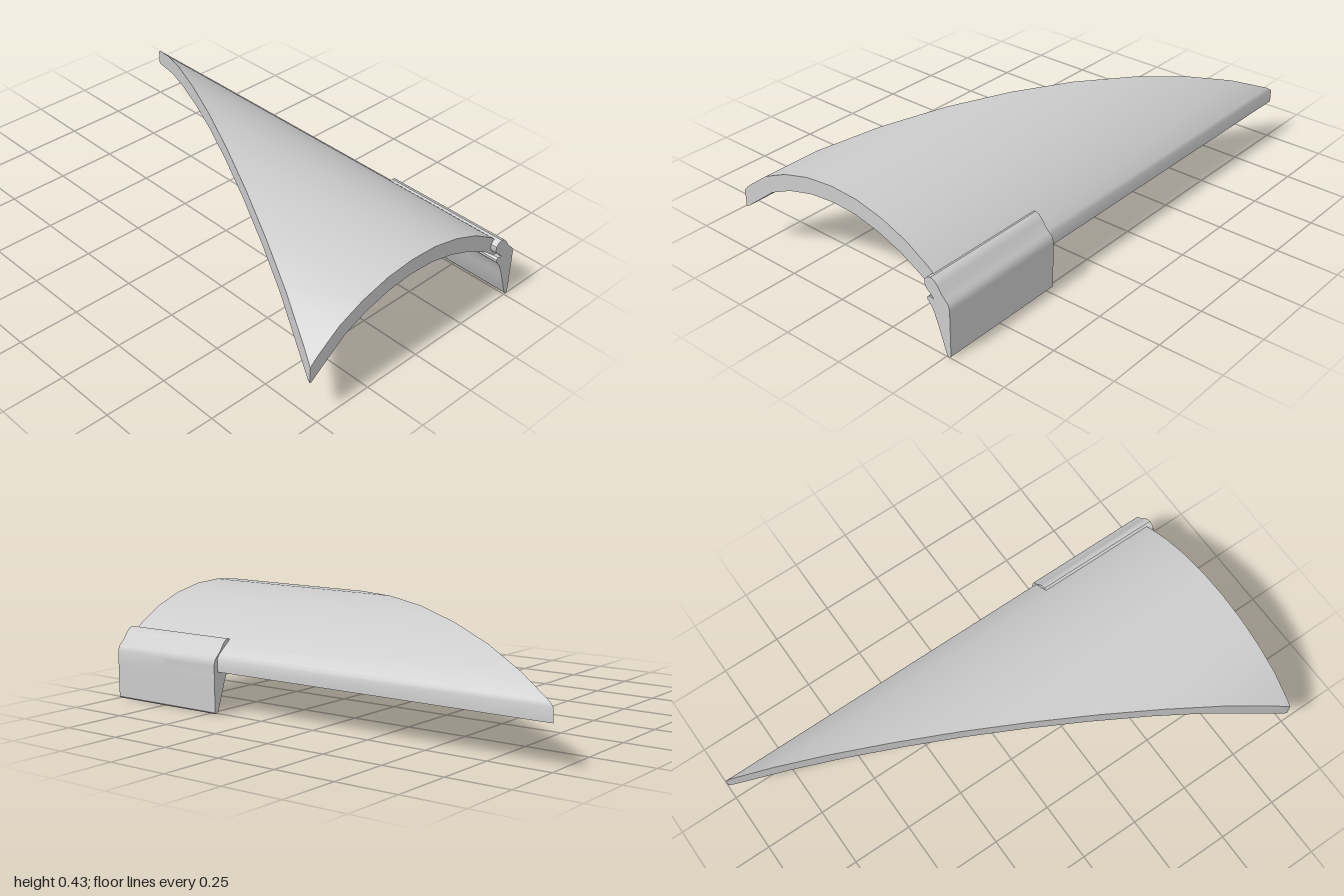
import * as THREE from 'three';
import { toCreasedNormals } from 'three/addons/utils/BufferGeometryUtils.js';

const material = new THREE.MeshStandardMaterial({ color: 0xcccccc, side: THREE.DoubleSide });

// Sweeps a [z, y] profile along x; startX may vary with z to cut the start at an angle
function sweep(name, profile, startX, endX) {
  const shape = new THREE.Shape(profile.map(([z, y]) => new THREE.Vector2(-z, y)));
  const geometry = new THREE.ExtrudeGeometry(shape, { depth: 1, bevelEnabled: false });
  geometry.rotateY(Math.PI / 2);
  const p = geometry.attributes.position;
  for (let i = 0; i < p.count; i++) {
    p.setX(i, p.getX(i) < 0.5 ? startX(p.getZ(i)) : endX);
  }
  const mesh = new THREE.Mesh(toCreasedNormals(geometry, 0.6), material);
  mesh.name = name;
  return mesh;
}

export function createModel() {
  const model = new THREE.Group();
  model.name = 'archedPanel';

  // Arched shell, square at one end and cut diagonally at the other
  const outer = [[0.518, 0.238], [0.49, 0.265], [0.39, 0.34], [0.28, 0.389], [0.16, 0.421], [0.04, 0.433],
    [-0.08, 0.427], [-0.2, 0.4], [-0.31, 0.357], [-0.41, 0.297], [-0.49, 0.23], [-0.5, 0.215]];
  const inner = [[-0.5, 0.163], [-0.49, 0.163], [-0.38, 0.247], [-0.28, 0.302], [-0.175, 0.341], [-0.07, 0.365],
    [0.035, 0.37], [0.145, 0.36], [0.26, 0.33], [0.36, 0.285], [0.51, 0.169], [0.518, 0.17]];
  const diagonal = z => Math.min(0.974, -1 + (z + 0.5) * 1.94);
  model.add(sweep('archedShell', [...outer, ...inner], diagonal, 0.975));

  // Clip strip wrapped over the rear edge
  const strip = [[-0.438, 0.285], [-0.422, 0.28], [-0.411, 0.267], [-0.41, 0.25], [-0.418, 0.234],
    [-0.436, 0.221], [-0.46, 0.195], [-0.49, 0.15], [-0.502, 0.138], [-0.519, 0.135],
    [-0.519, 0.193], [-0.513, 0.212], [-0.5, 0.225], [-0.485, 0.24], [-0.468, 0.265], [-0.454, 0.28]];
  model.add(sweep('clipStrip', strip, () => 0.47, 1));

  // Tapered flap hanging below the clip
  const flap = [[-0.43, 0.209], [-0.421, 0.203], [-0.421, 0.193], [-0.432, 0.183], [-0.448, 0.158],
    [-0.465, 0.115], [-0.5, 0.012], [-0.506, 0.003], [-0.513, 0], [-0.519, 0.006],
    [-0.519, 0.19], [-0.5, 0.2], [-0.45, 0.205]];
  model.add(sweep('flap', flap, () => 0.47, 1));

  return model;
}
